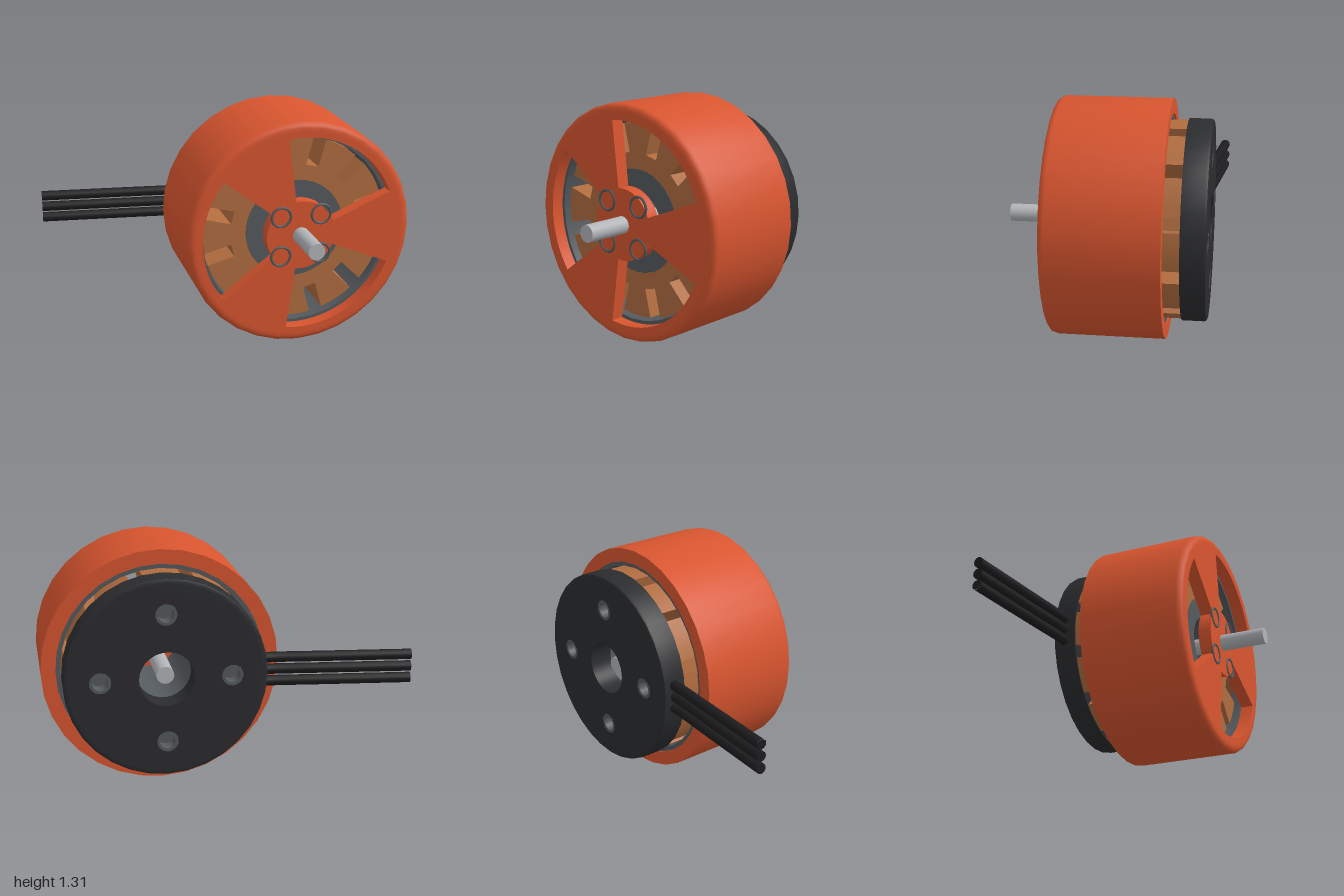
import * as THREE from 'three';
import { toCreasedNormals } from 'three/addons/utils/BufferGeometryUtils.js';

const SEG = 32;
const paint = (color) => new THREE.MeshStandardMaterial({ color });
const orange = paint(0xd8552f), copper = paint(0xb06c3f), black = paint(0x2b2c2e);
const steel = paint(0xb2b4b8), grey = paint(0x555a5e), rubber = paint(0x1d1d1f);

function add(parent, name, geometry, material) {
  const mesh = new THREE.Mesh(geometry, material);
  mesh.name = name;
  parent.add(mesh);
  return mesh;
}

// Closed [radius, z] profile, counterclockwise, turned about the z axis
function turned(profile, segments = SEG) {
  const points = [...profile, profile[0]].map(([r, z]) => new THREE.Vector2(r, z));
  const geometry = new THREE.LatheGeometry(points, segments).rotateX(Math.PI / 2);
  return toCreasedNormals(geometry, 0.6);
}

const ring = (inner, outer, z0, z1, segments) =>
  turned([[inner, z0], [outer, z0], [outer, z1], [inner, z1]], segments);

// Flat shape given thickness between two z positions
function slab(shape, z0, z1, curveSegments = SEG) {
  const geometry = new THREE.ExtrudeGeometry(shape, { depth: z1 - z0, bevelEnabled: false, curveSegments });
  return toCreasedNormals(geometry.translate(0, 0, z0), 0.6);
}

const disc = (r, x = 0, y = 0) => new THREE.Shape().absarc(x, y, r, 0, Math.PI * 2);

function rod(radius, z0, z1, segments = 20) {
  return new THREE.CylinderGeometry(radius, radius, z1 - z0, segments)
    .rotateX(Math.PI / 2).translate(0, 0, (z0 + z1) / 2);
}

function buildBell() {
  const bell = new THREE.Group();
  bell.name = 'rotorBell';
  add(bell, 'bellWall', turned([
    [0.575, -0.305], [0.655, -0.305], [0.655, 0.28], [0.65, 0.298],
    [0.638, 0.31], [0.62, 0.315], [0.6, 0.315], [0.6, 0.24], [0.575, 0.24],
  ]), orange);

  // Front plate with three sector windows
  const plate = disc(0.6);
  const rad = THREE.MathUtils.degToRad;
  for (const mid of [60, 180, 300]) {
    const window = new THREE.Path();
    window.absarc(0, 0, 0.567, rad(mid - 38), rad(mid + 38), false);
    window.absarc(0, 0, 0.2, rad(mid + 39), rad(mid - 39), true);
    window.closePath();
    plate.holes.push(window);
  }
  add(bell, 'frontPlate', slab(plate, 0.24, 0.315), orange);
  add(bell, 'magnetRing', ring(0.55, 0.575, -0.295, 0.24), grey);

  // Four thin rings around the shaft
  for (const x of [-1, 1]) for (const y of [-1, 1]) {
    add(bell, 'boltRing', new THREE.TorusGeometry(0.056, 0.008, 6, 20), grey)
      .position.set(x * 0.117, y * 0.117, 0.314);
  }
  return bell;
}

function buildStator() {
  const stator = new THREE.Group();
  stator.name = 'stator';
  // Twelve copper teeth parted by straight slots
  const count = 12, outer = 0.54, inner = 0.38, half = 0.038;
  const step = Math.PI * 2 / count;
  const a = Math.asin(half / outer), b = Math.asin(half / inner);
  const points = [];
  const put = (r, t) => points.push(new THREE.Vector2(r * Math.cos(t), r * Math.sin(t)));
  for (let k = 0; k < count; k++) {
    const slot = (k + 0.5) * step;
    put(outer, slot - a);
    put(inner, slot - b);
    put(inner, slot + b);
    for (let i = 0; i < 4; i++) put(outer, slot + a + (step - 2 * a) * i / 4);
  }
  const shape = new THREE.Shape(points);
  shape.holes.push(disc(0.29));
  add(stator, 'windings', slab(shape, -0.39, 0.2), copper);
  add(stator, 'statorHub', ring(0.17, 0.29, -0.39, 0.2), grey);
  return stator;
}

function buildBase() {
  const base = new THREE.Group();
  base.name = 'mountingBase';
  const plate = disc(0.52);
  plate.holes.push(disc(0.15));
  for (let i = 0; i < 4; i++) {
    const x = 0.355 * Math.cos(i * Math.PI / 2), y = 0.355 * Math.sin(i * Math.PI / 2);
    plate.holes.push(disc(0.058, x, y));
    // Threaded insert with a recessed floor
    add(base, 'insertSleeve', ring(0.042, 0.058, -0.525, -0.4, 20), grey).position.set(x, y, 0);
    add(base, 'insertFloor', rod(0.045, -0.45, -0.4), grey).position.set(x, y, 0);
  }
  add(base, 'basePlate', slab(plate, -0.525, -0.39), black);
  add(base, 'baseRim', turned([
    [0.52, -0.525], [0.535, -0.525], [0.546, -0.52], [0.55, -0.508], [0.55, -0.39], [0.52, -0.39],
  ]), black);
  return base;
}

// Three leads side by side, sweeping back and to the side
function buildWires() {
  const wires = new THREE.Group();
  wires.name = 'wires';
  const path = new THREE.CatmullRomCurve3([
    [-0.5, -0.458], [-0.6, -0.462], [-0.8, -0.487], [-1.07, -0.52], [-1.342, -0.553],
  ].map(([x, z]) => new THREE.Vector3(x, 0, z)));
  for (const row of [-1, 0, 1]) {
    const wire = new THREE.Group();
    wire.name = 'wire';
    wire.position.y = row * 0.067;
    add(wire, 'wireSleeve', new THREE.TubeGeometry(path, 16, 0.029, 12), rubber);
    const cap = add(wire, 'wireEnd', new THREE.CircleGeometry(0.029, 12), rubber);
    cap.position.copy(path.getPoint(1));
    cap.lookAt(path.getPoint(1).add(path.getTangent(1)));
    wires.add(wire);
  }
  return wires;
}

export function createModel() {
  const motor = new THREE.Group();
  motor.name = 'motor';
  motor.add(buildBell(), buildStator(), buildBase(), buildWires());
  add(motor, 'shaft', rod(0.048, -0.46, 0.58), steel);
  motor.position.set(0.345, 0.655, 0);
  const model = new THREE.Group();
  model.name = 'outrunnerMotor';
  model.add(motor);
  return model;
}
